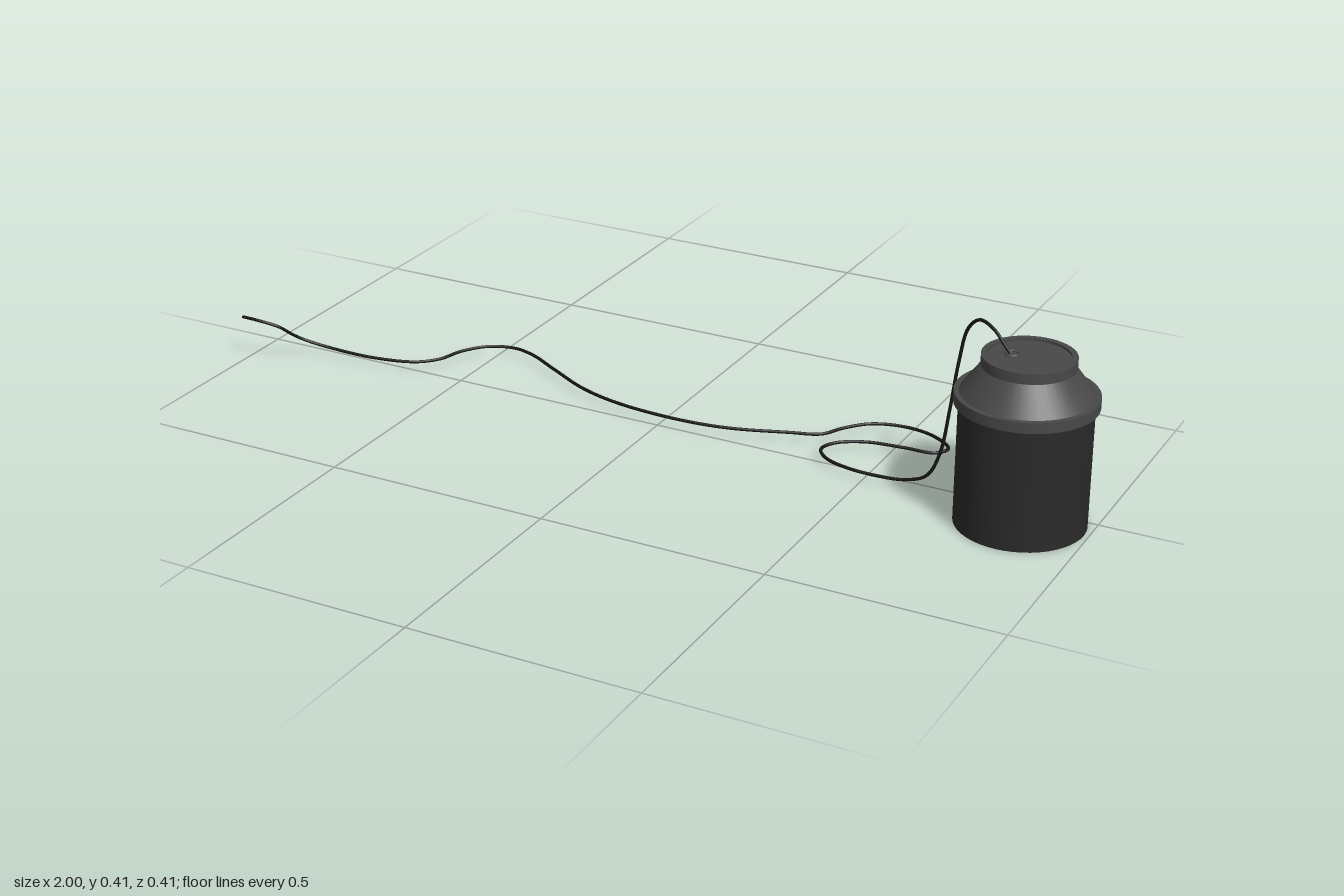
import * as THREE from 'three';
import { toCreasedNormals } from 'three/addons/utils/BufferGeometryUtils.js';

const bodyMat = new THREE.MeshStandardMaterial({ color: 0x2a2a2a });
const lidMat = new THREE.MeshStandardMaterial({ color: 0x484848 });
const cableMat = new THREE.MeshStandardMaterial({ color: 0x151515 });

function add(parent, name, geometry, material) {
  const mesh = new THREE.Mesh(geometry, material);
  mesh.name = name;
  parent.add(mesh);
  return mesh;
}

// Turned part from [radius, height] pairs listed bottom to top, with sharp edges
function turned(points) {
  const profile = points.map(([r, y]) => new THREE.Vector2(r, y));
  return toCreasedNormals(new THREE.LatheGeometry(profile, 48), 0.4);
}

export function createModel() {
  const model = new THREE.Group();
  model.name = 'canisterWithCable';

  const canister = new THREE.Group();
  canister.name = 'canister';
  canister.position.set(0.855, 0, 0.058);
  model.add(canister);

  // Closed cylindrical container
  add(canister, 'body', turned([[0, 0], [0.135, 0], [0.135, 0.265]]), bodyMat);

  // Overhanging collar, sloping shoulder and shallow-dished cap
  add(canister, 'collar', turned([[0.13, 0.262], [0.145, 0.262], [0.145, 0.285], [0.13, 0.285]]), lidMat);
  add(canister, 'shoulder', turned([[0.135, 0.284], [0.09, 0.345]]), lidMat);
  add(canister, 'cap', turned([
    [0.085, 0.343], [0.095, 0.343], [0.095, 0.365], [0.083, 0.365], [0.083, 0.36], [0, 0.36],
  ]), lidMat);

  // Ring where the cable enters the cap
  const grommet = add(canister, 'cableGrommet', new THREE.TorusGeometry(0.014, 0.003, 8, 24), lidMat);
  grommet.rotation.x = Math.PI / 2;
  grommet.position.set(-0.035, 0.361, 0.002);

  // Cable: raised free end
  const freeEnd = [
    [-1, 0.104, 0.127], [-0.955, 0.103, 0.127], [-0.915, 0.09, 0.11],
    [-0.902, 0.06, 0.075], [-0.885, 0.042, 0.053], [-0.84, 0.028, 0.036],
  ];
  // Part lying on the ground, [x, z]
  const ground = [
    [-0.72, 0.025], [-0.62, 0], [-0.58, -0.04], [-0.56, -0.1], [-0.52, -0.152],
    [-0.465, -0.172], [-0.41, -0.16], [-0.32, -0.11], [-0.21, -0.05], [-0.1, -0.018],
    [0.055, -0.007], [0.165, -0.02], [0.285, -0.06], [0.35, -0.085], [0.38, -0.135],
    [0.425, -0.183], [0.495, -0.202], [0.565, -0.188], [0.617, -0.145], [0.6, -0.113],
    [0.53, -0.106], [0.45, -0.094], [0.395, -0.06], [0.38, -0.02], [0.41, 0.018],
    [0.47, 0.039], [0.54, 0.043],
  ].map(([x, z]) => [x, 0.021, z]);
  // Climb up beside the canister and over into the cap
  const climb = [
    [0.6, 0.027, 0.043], [0.645, 0.047, 0.043], [0.67, 0.1, 0.04], [0.683, 0.2, 0.028],
    [0.693, 0.3, 0.018], [0.708, 0.375, 0.014], [0.735, 0.402, 0.022],
    [0.77, 0.395, 0.037], [0.802, 0.372, 0.054], [0.822, 0.355, 0.062],
  ];
  const path = new THREE.CatmullRomCurve3(
    [...freeEnd, ...ground, ...climb].map((p) => new THREE.Vector3(...p)));
  add(model, 'cable', new THREE.TubeGeometry(path, 400, 0.0036, 8), cableMat);

  // Flat tip closing the free end
  const tip = add(model, 'cableTip', new THREE.CircleGeometry(0.0036, 8), cableMat);
  tip.position.set(-1, 0.104, 0.127);
  tip.rotation.y = -Math.PI / 2;

  return model;
}
